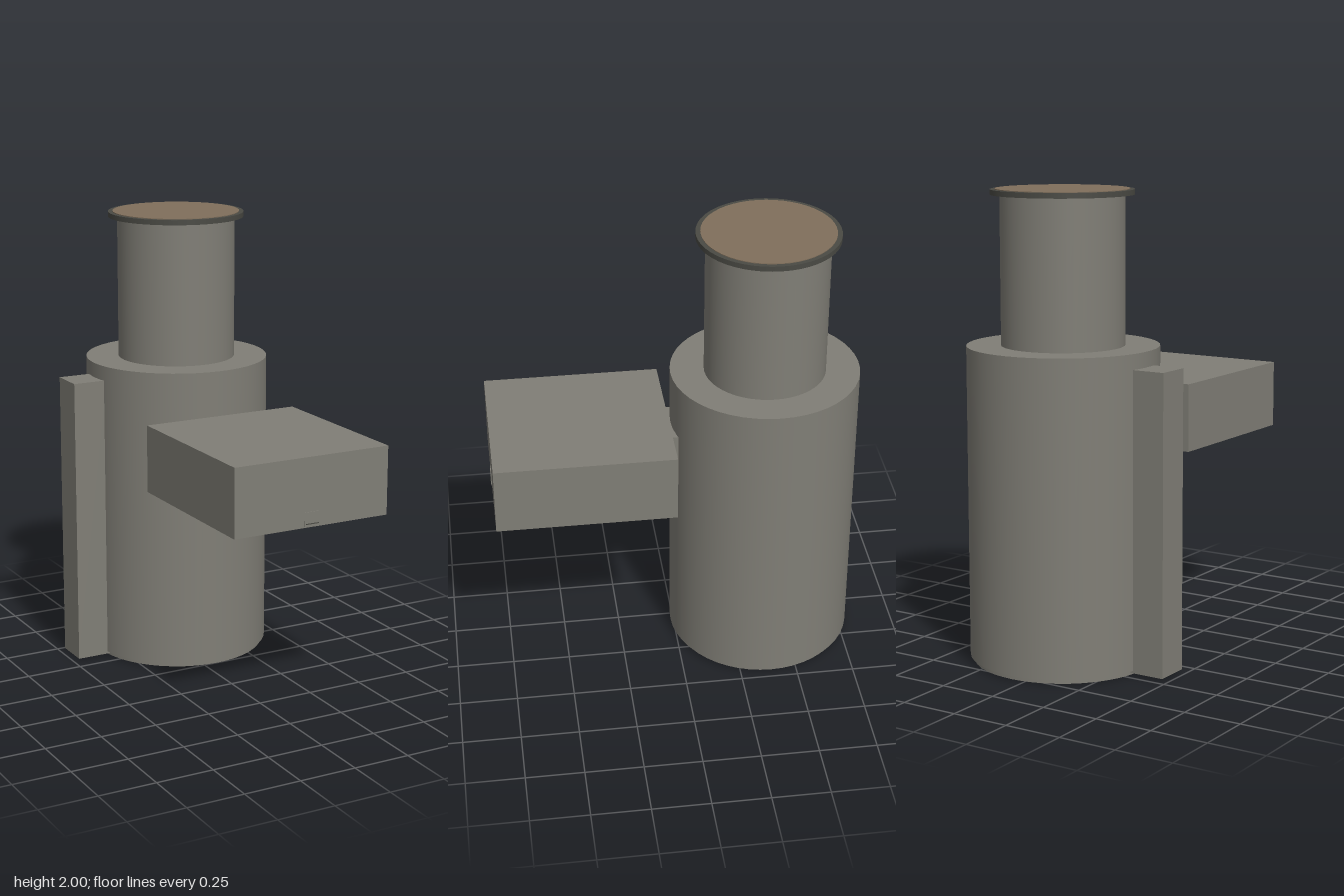
import * as THREE from 'three';

export function createModel() {
  const group = new THREE.Group();
  const material = (name, color) => {
    const m = new THREE.MeshStandardMaterial({ color });
    m.name = name;
    return m;
  };
  const gray = material('warm gray', 0x807e76);
  const dark = material('dark gray', 0x4a4a44);
  const brown = material('brown', 0x806f5b);

  const add = (name, geometry, mat, x, y, z) => {
    const mesh = new THREE.Mesh(geometry, mat);
    mesh.name = name;
    mesh.position.set(x, y, z);
    group.add(mesh);
  };
  // Box given by its lower and upper limits on each axis
  const box = (name, mat, [x0, x1], [y0, y1], [z0, z1]) =>
    add(name, new THREE.BoxGeometry(x1 - x0, y1 - y0, z1 - z0), mat,
      (x0 + x1) / 2, (y0 + y1) / 2, (z0 + z1) / 2);
  // Upright cylinder on the shared tower axis
  const drum = (name, mat, radius, y0, y1) =>
    add(name, new THREE.CylinderGeometry(radius, radius, y1 - y0, 48), mat,
      0.065, (y0 + y1) / 2, -0.39);

  // Tower: recessed foot, body, neck, rim and top disc
  drum('foot', gray, 0.39, 0, 0.02);
  drum('body', gray, 0.405, 0.02, 1.35);
  drum('neck', gray, 0.26, 1.35, 1.975);
  drum('rim', dark, 0.3, 1.975, 1.997);
  drum('topDisc', brown, 0.28, 1.99, 2);

  // Pillar on the right side
  box('sidePillar', gray, [-0.475, -0.32], [0.01, 1.285], [-0.47, -0.315]);

  // Front box and the short block joining it to the body
  box('connector', gray, [-0.055, 0.185], [0.86, 1.105], [-0.02, 0.035]);
  box('frontBox', gray, [-0.295, 0.425], [0.86, 1.155], [0.03, 0.795]);

  // Small fittings on the box
  box('frontPlate', gray, [0.03, 0.095], [0.865, 0.925], [0.793, 0.798]);
  box('plateSlot', dark, [0.035, 0.095], [0.873, 0.877], [0.795, 0.799]);
  box('backStud', dark, [0.31, 0.335], [0.865, 0.89], [0.024, 0.031]);

  return group;
}
